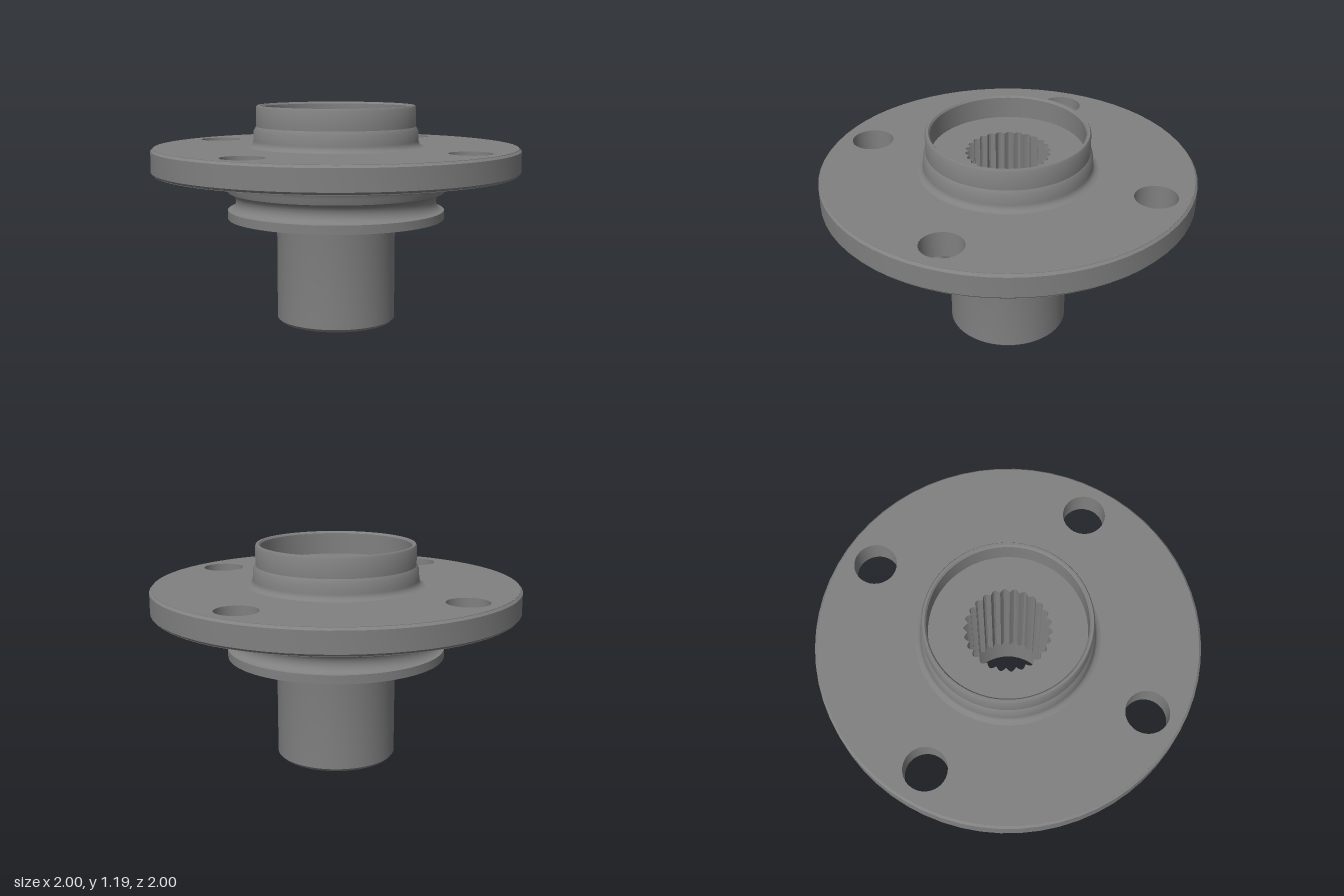
import * as THREE from 'three';
import { toCreasedNormals } from 'three/addons/utils/BufferGeometryUtils.js';

const SEGMENTS = 64;

export function createModel() {
  const steel = new THREE.MeshStandardMaterial({ color: 0x808080 });
  const group = new THREE.Group();
  group.name = 'wheelHub';

  const add = (name, geometry) => {
    const mesh = new THREE.Mesh(toCreasedNormals(geometry, 0.55), steel);
    mesh.name = name;
    group.add(mesh);
  };
  // Profiles run upwards on the outside and downwards on the inside
  const lathe = (name, points) =>
    add(name, new THREE.LatheGeometry(points.map(([r, y]) => new THREE.Vector2(r, y)), SEGMENTS));
  // Points of a circular arc in a profile, angles in degrees
  const arc = (cx, cy, rx, ry, from, to, n = 8) =>
    Array.from({ length: n + 1 }, (_, i) => {
      const a = THREE.MathUtils.degToRad(from + ((to - from) * i) / n);
      return [cx + rx * Math.cos(a), cy + ry * Math.sin(a)];
    });
  const circle = (x, y, r) => new THREE.Path().absarc(x, y, r, 0, Math.PI * 2, false);
  const plate = (name, shape, bottom, top) => {
    const geometry = new THREE.ExtrudeGeometry(shape, {
      depth: top - bottom, bevelEnabled: false, curveSegments: 32,
    });
    add(name, geometry.rotateX(-Math.PI / 2).translate(0, bottom, 0));
  };

  // Lower sleeve, collar with round groove, and fillet up to the flange
  lathe('sleeveAndCollar', [
    [0.24, 0.3], [0.24, 0.015], [0.25, 0], [0.308, 0], [0.325, 0.017],
    ...arc(0.365, 0.535, 0.04, 0.04, 180, 90, 5),
    [0.593, 0.575], [0.593, 0.622],
    ...arc(0.593, 0.672, 0.045, 0.05, 270, 90, 10),
    [0.598, 0.738],
    ...arc(0.7, 0.738, 0.1, 0.09, 170, 90, 8),
  ]);

  // Flange disc with four bolt holes
  const disc = new THREE.Shape().absarc(0, 0, 0.988, 0, Math.PI * 2, false);
  disc.holes.push(circle(0, 0, 0.4));
  for (let i = 0; i < 4; i++) {
    const a = (i * Math.PI) / 2;
    disc.holes.push(circle(0.815 * Math.cos(a), 0.815 * Math.sin(a), 0.113));
  }
  plate('flange', disc, 0.826, 0.966);

  // Chamfered outer rim of the flange
  lathe('flangeRim', [[0.986, 0.826], [1, 0.84], [1, 0.952], [0.986, 0.966]]);

  // Stepped upper boss with its recessed floor
  lathe('boss', [
    [0.485, 0.964],
    ...arc(0.485, 1.0, 0.035, 0.034, 260, 180, 5),
    [0.447, 1.055], [0.434, 1.075], [0.434, 1.178], [0.428, 1.188],
    [0.416, 1.188], [0.408, 1.178], [0.408, 1.06], [0.29, 1.06],
  ]);

  // Toothed bore inside the sleeve
  const bore = new THREE.Shape().absarc(0, 0, 0.3, 0, Math.PI * 2, false);
  const teeth = 26;
  const radii = [0.207, 0.218, 0.226, 0.226, 0.218];
  const toothPoints = [];
  for (let i = 0; i < teeth * radii.length; i++) {
    const a = (i / (teeth * radii.length)) * Math.PI * 2;
    const r = radii[i % radii.length];
    toothPoints.push(new THREE.Vector2(r * Math.cos(a), r * Math.sin(a)));
  }
  bore.holes.push(new THREE.Path(toothPoints));
  plate('splinedBore', bore, 0.3, 1.06);

  return group;
}
